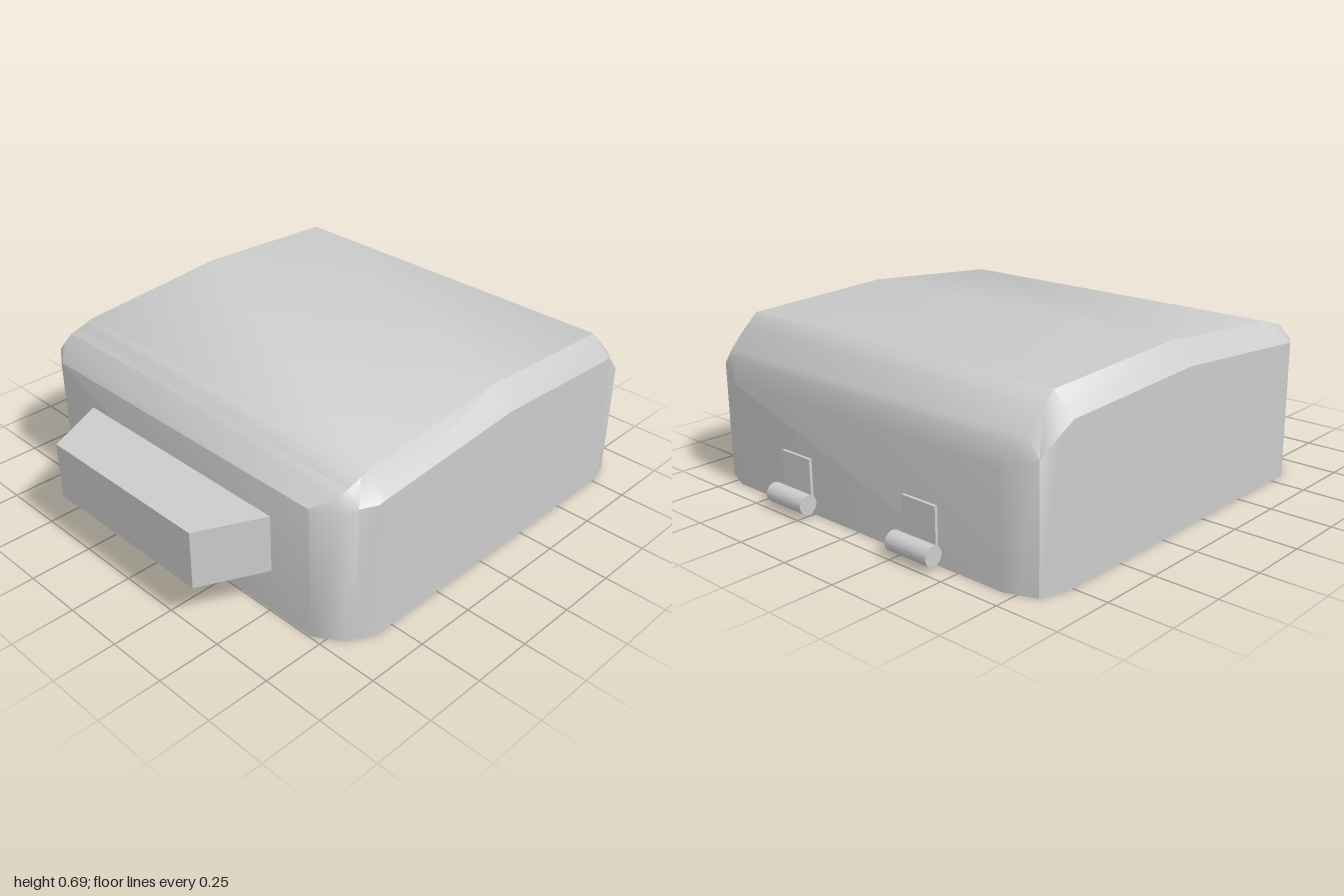
import * as THREE from 'three';
import { toCreasedNormals } from 'three/addons/utils/BufferGeometryUtils.js';

const material = new THREE.MeshStandardMaterial({ color: 0xcccccc });

// Shell sections, front to back: z, half width, wall height, roof half width, roof height
const SECTIONS = [
  [0.745, 0.70, 0.53, 0.69, 0.54],
  [0.68, 0.80, 0.54, 0.76, 0.58],
  [0.64, 0.82, 0.55, 0.77, 0.605],
  [0.58, 0.855, 0.555, 0.77, 0.622],
  [0.54, 0.855, 0.56, 0.77, 0.635],
  [-0.11, 0.855, 0.61, 0.77, 0.69],
  [-0.75, 0.855, 0.58, 0.77, 0.66],
  [-0.80, 0.843, 0.54, 0.77, 0.61],
  [-0.875, 0.82, 0.47, 0.77, 0.535],
  [-0.90, 0.755, 0.45, 0.73, 0.51],
  [-0.92, 0.70, 0.41, 0.69, 0.42],
];
const CAVITY = { x: 0.70, front: 0.58, back: -0.76, top: 0.50 };

function addMesh(parent, name, geometry, x = 0, y = 0, z = 0) {
  const mesh = new THREE.Mesh(geometry, material);
  mesh.name = name;
  mesh.position.set(x, y, z);
  parent.add(mesh);
  return mesh;
}

function polygons(faces) {
  const positions = [];
  for (const face of faces) {
    for (let i = 1; i < face.length - 1; i++) positions.push(...face[0], ...face[i], ...face[i + 1]);
  }
  const geometry = new THREE.BufferGeometry();
  geometry.setAttribute('position', new THREE.Float32BufferAttribute(positions, 3));
  return geometry;
}

// Outer walls and roof, lofted along z with flat end caps
function shellGeometry() {
  const loops = SECTIONS.map(([z, w, wallY, rw, roofY]) => [
    [w, 0, z], [w, wallY, z], [rw, roofY, z], [-rw, roofY, z], [-w, wallY, z], [-w, 0, z],
  ]);
  const faces = [loops[0], [...loops[loops.length - 1]].reverse()];
  for (let s = 0; s < loops.length - 1; s++) {
    const f = loops[s], b = loops[s + 1];
    for (let i = 0; i < 5; i++) faces.push([f[i], b[i], b[i + 1], f[i + 1]]);
  }
  return toCreasedNormals(polygons(faces), 0.75);
}

// Flat underside ring around the cavity
function rimGeometry() {
  const right = SECTIONS.map(([z, w]) => new THREE.Vector2(w, z));
  const left = SECTIONS.map(([z, w]) => new THREE.Vector2(-w, z)).reverse();
  const shape = new THREE.Shape([...right, ...left]);
  const { x, front, back } = CAVITY;
  shape.holes.push(new THREE.Path([[-x, back], [x, back], [x, front], [-x, front]].map((p) => new THREE.Vector2(...p))));
  return new THREE.ShapeGeometry(shape).rotateX(Math.PI / 2);
}

// Inward-facing walls and ceiling
function cavityGeometry() {
  const { x, front, back, top } = CAVITY;
  const corners = [[x, front], [x, back], [-x, back], [-x, front]];
  const low = corners.map(([px, pz]) => [px, 0, pz]);
  const high = corners.map(([px, pz]) => [px, top, pz]);
  const faces = [[...high].reverse()];
  for (let i = 0; i < 4; i++) {
    const j = (i + 1) % 4;
    faces.push([low[i], high[i], high[j], low[j]]);
  }
  const geometry = polygons(faces);
  geometry.computeVertexNormals();
  return geometry;
}

// Tapered front handle
function handleGeometry() {
  const shape = new THREE.Shape(
    [[-0.51, 0.74], [0.51, 0.74], [0.385, 1], [-0.385, 1]].map((p) => new THREE.Vector2(...p)));
  return new THREE.ExtrudeGeometry(shape, { depth: 0.235, bevelEnabled: false }).rotateX(Math.PI / 2);
}

export function createModel() {
  const model = new THREE.Group();
  model.name = 'lid';

  addMesh(model, 'shell', shellGeometry());
  addMesh(model, 'rim', rimGeometry());
  // Ceiling winding needs to face down, as do the walls toward the centre
  addMesh(model, 'cavity', cavityGeometry()).material = new THREE.MeshStandardMaterial({
    color: 0xcccccc, side: THREE.DoubleSide,
  });
  addMesh(model, 'handle', handleGeometry(), 0, 0.415, 0);

  // Pair of hinges on the back wall
  for (const side of [-1, 1]) {
    const hinge = new THREE.Group();
    hinge.name = side > 0 ? 'leftHinge' : 'rightHinge';
    hinge.position.x = side * 0.33;
    addMesh(hinge, 'hingePlate', new THREE.BoxGeometry(0.16, 0.17, 0.02), 0, 0.135, -0.922);
    addMesh(hinge, 'hingeBarrel', new THREE.CylinderGeometry(0.038, 0.038, 0.2, 20).rotateZ(Math.PI / 2), 0, 0.055, -0.962);
    model.add(hinge);
  }
  return model;
}
